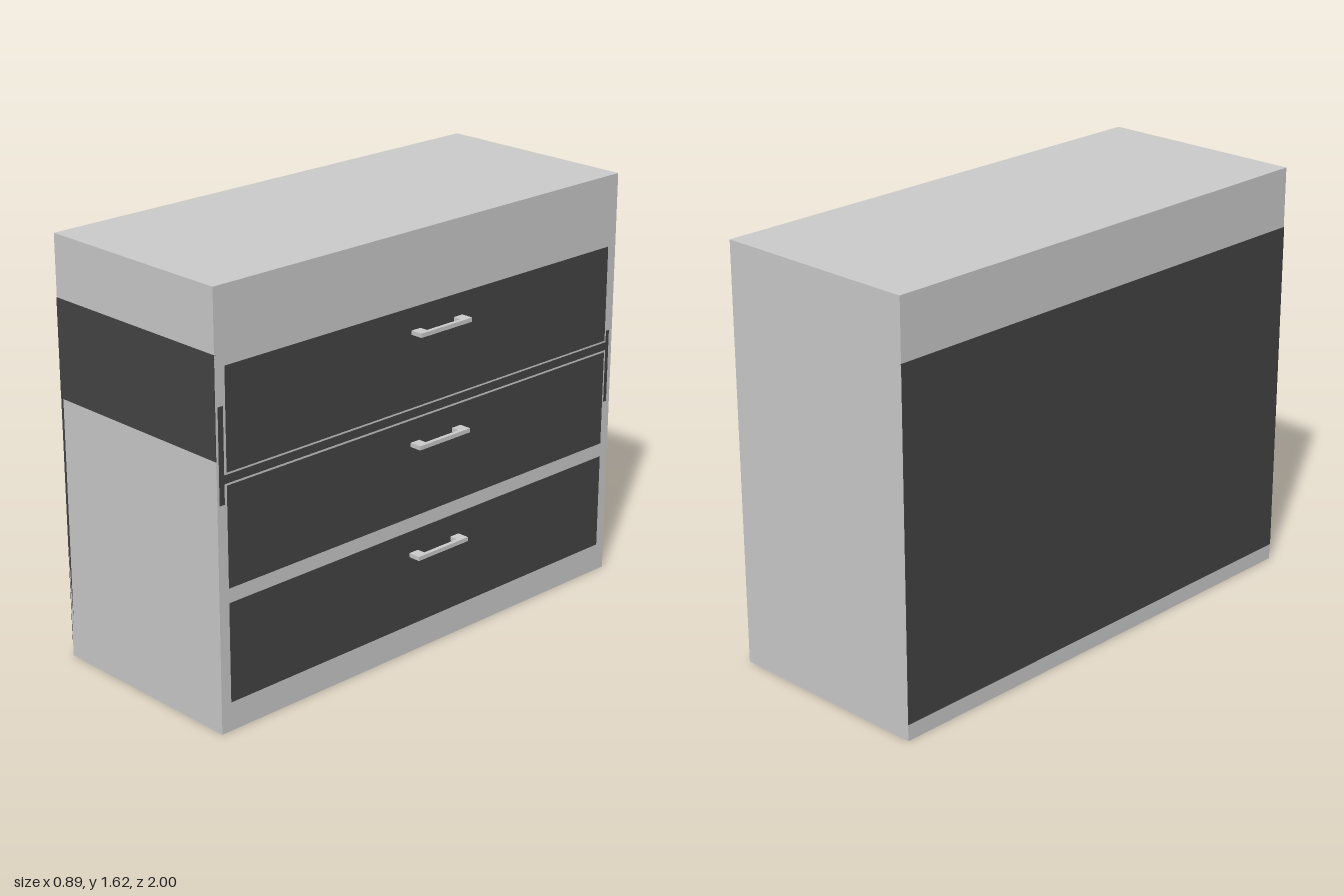
import * as THREE from 'three';

const grey = new THREE.MeshStandardMaterial({ color: 0xcccccc });
const dark = new THREE.MeshStandardMaterial({ color: 0x444444 });

const X0 = -0.442, X1 = 0.392, H = 1.615, SKIN = 0.002;

// Box given by its minimum and maximum corners
function box(name, material, [ax, ay, az], [bx, by, bz]) {
  const mesh = new THREE.Mesh(new THREE.BoxGeometry(bx - ax, by - ay, bz - az), material);
  mesh.position.set((ax + bx) / 2, (ay + by) / 2, (az + bz) / 2);
  mesh.name = name;
  return mesh;
}

// Flat U-shaped pull: two feet and a grip bar, lying in a horizontal plane
function handle(y) {
  const half = 0.128, foot = 0.043, depth = 0.05, grip = 0.016, thick = 0.016;
  const shape = new THREE.Shape([
    [0, -half], [depth, -half], [depth, half], [0, half],
    [0, half - foot], [depth - grip, half - foot], [depth - grip, foot - half], [0, foot - half],
  ].map(([x, z]) => new THREE.Vector2(x, z)));
  const geometry = new THREE.ExtrudeGeometry(shape, { depth: thick, bevelEnabled: false });
  geometry.rotateX(-Math.PI / 2);
  const mesh = new THREE.Mesh(geometry, grey);
  mesh.position.set(X1, y - thick / 2, -0.034);
  mesh.name = 'handle';
  return mesh;
}

export function createModel() {
  const group = new THREE.Group();
  group.name = 'chestOfDrawers';

  // Carcass with dark back and side panels
  group.add(box('carcass', grey, [X0, 0, -0.998], [X1, H, 0.998]));
  group.add(box('backPanel', dark, [X0 - SKIN, 0.063, -0.998], [X0 + 0.01, 1.383, 0.998]));
  group.add(box('sidePanel', dark, [X0, 1.01, 0.98], [X1, 1.383, 0.998 + SKIN]));

  // Three drawer fronts, each with its handle
  [[0.11, 0.485], [0.54, 0.915], [0.962, 1.337]].forEach(([low, high]) => {
    const drawer = new THREE.Group();
    drawer.name = 'drawer';
    drawer.add(box('drawerFront', dark, [X1 - 0.02, low, -0.955], [X1 + SKIN, high, 0.955]));
    drawer.add(handle(high - 0.092));
    group.add(drawer);
  });

  // Dark gaps around the upper drawers
  group.add(box('drawerGap', dark, [X1 - 0.02, 0.923, -0.965], [X1 + SKIN / 2, 0.954, 0.965]));
  group.add(box('sideGap', dark, [X1 - 0.02, 0.85, 0.966], [X1 + SKIN / 2, 1.2, 0.988]));
  group.add(box('sideGap', dark, [X1 - 0.02, 0.71, -0.98], [X1 + SKIN / 2, 1.0, -0.964]));
  return group;
}
